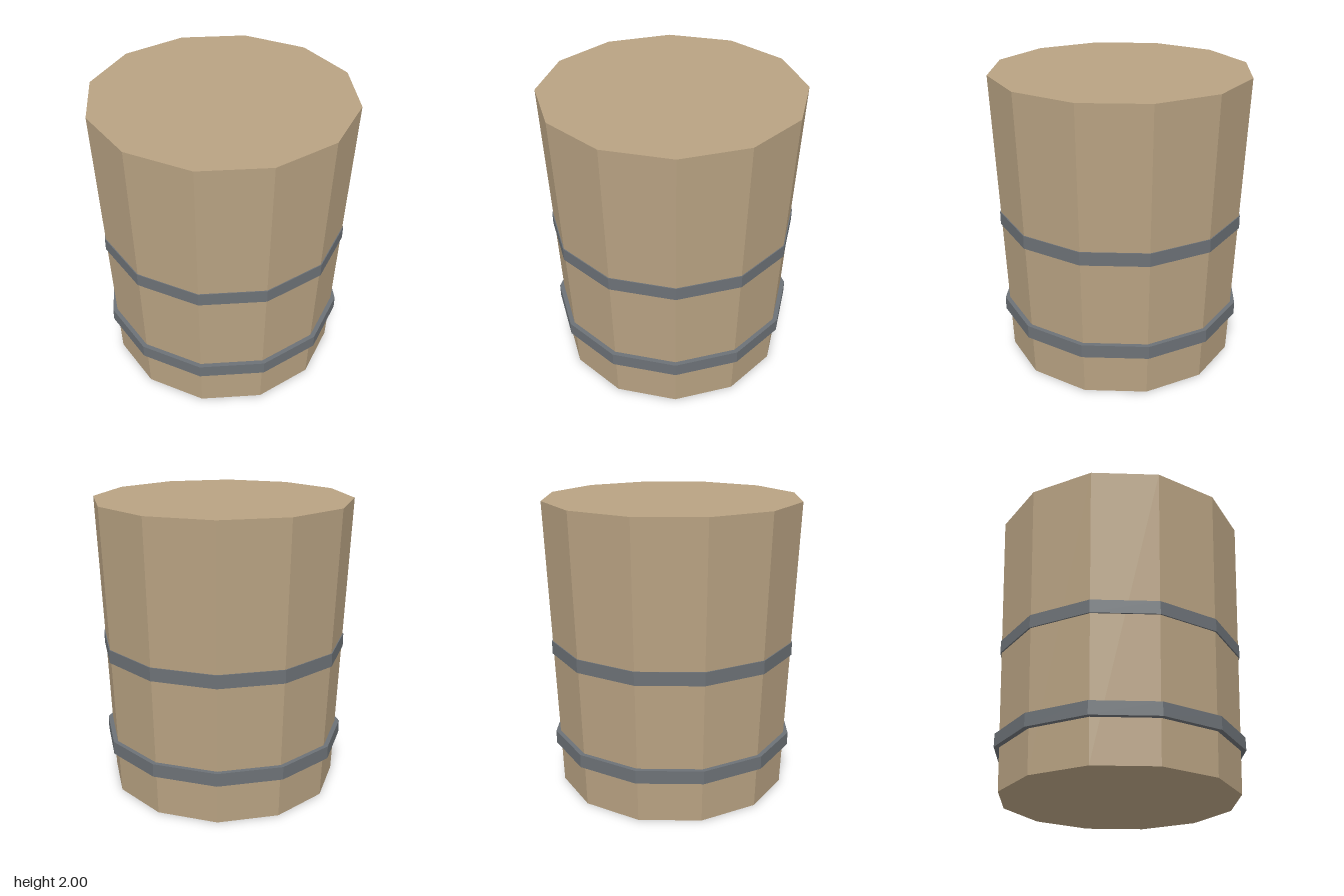
import * as THREE from 'three';

const SIDES = 12;

export function createModel() {
  const wood = new THREE.MeshStandardMaterial({ color: 0xb8a282 });
  wood.name = 'wood';
  wood.flatShading = true;
  const iron = new THREE.MeshStandardMaterial({ color: 0x6c7176 });
  iron.name = 'iron';
  iron.flatShading = true;

  const barrel = new THREE.Group();
  barrel.name = 'barrel';

  // Tapered drum, closed at both ends
  const drum = new THREE.Mesh(new THREE.CylinderGeometry(0.875, 0.8, 2, SIDES), wood);
  drum.name = 'drum';
  drum.position.y = 1;
  barrel.add(drum);

  // Straight metal hoops around the drum
  const hoops = { lowerHoop: 0.335, upperHoop: 1.005 };
  for (const [name, y] of Object.entries(hoops)) {
    const hoop = new THREE.Mesh(new THREE.CylinderGeometry(0.846, 0.846, 0.09, SIDES), iron);
    hoop.name = name;
    hoop.position.y = y;
    barrel.add(hoop);
  }
  return barrel;
}
